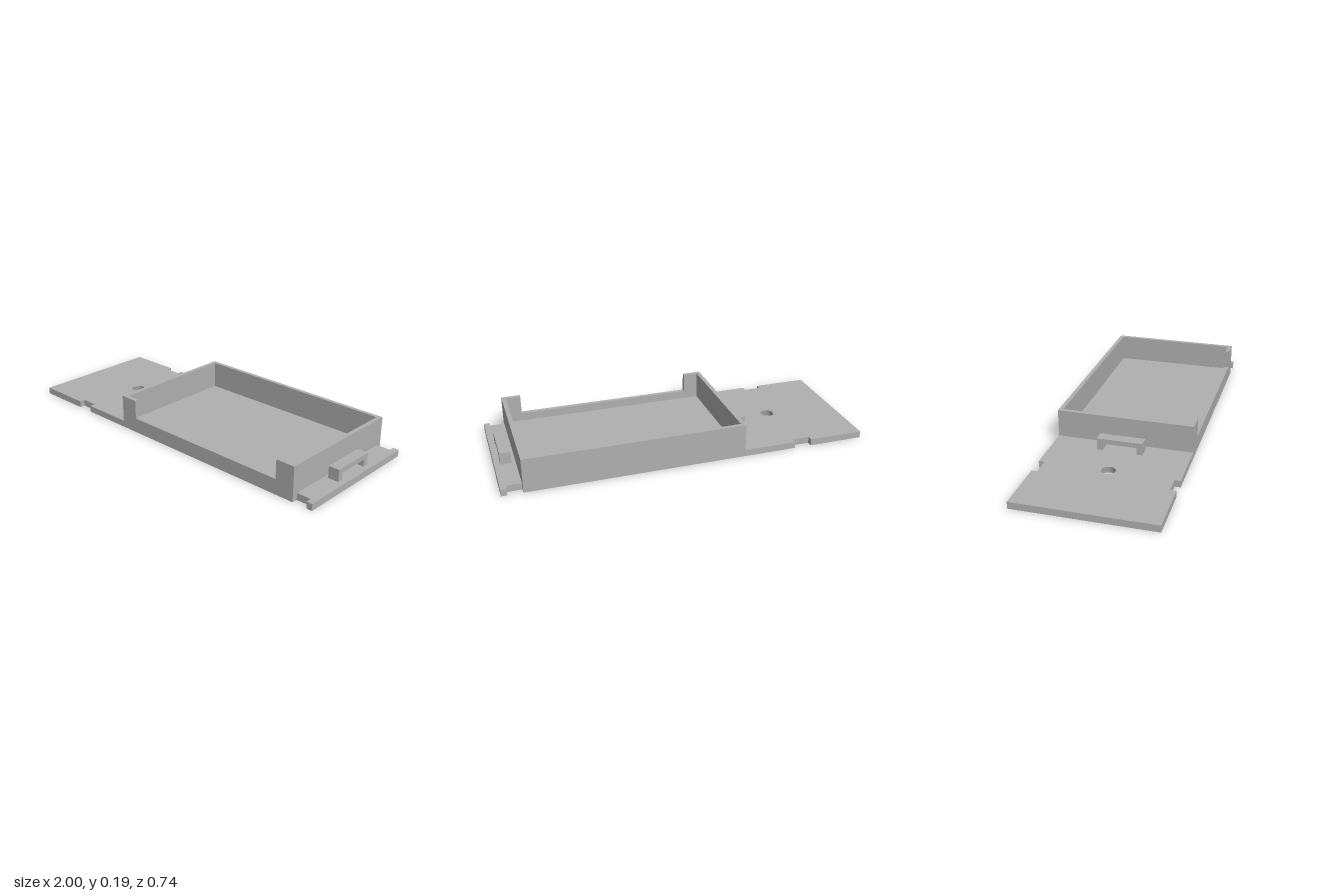
import * as THREE from 'three';

const BASE = 0.037, TOP = 0.188, HALF = 0.372, WALL = 0.023;
const X0 = -0.304, X1 = 0.888; // tray ends
const HOLE = { x: -0.596, r: 0.037, rBottom: 0.045 };

const grey = new THREE.MeshStandardMaterial({ color: 0xb0b0b0 });
grey.name = 'grey';

function addMesh(parent, name, geometry) {
  const mesh = new THREE.Mesh(geometry, grey);
  mesh.name = name;
  parent.add(mesh);
  return mesh;
}

// Box given by its minimum and maximum corners
function addBox(parent, name, [ax, ay, az], [bx, by, bz]) {
  const mesh = addMesh(parent, name, new THREE.BoxGeometry(bx - ax, by - ay, bz - az));
  mesh.position.set((ax + bx) / 2, (ay + by) / 2, (az + bz) / 2);
}

function shapeFrom(points) {
  return new THREE.Shape(points.map(([x, y]) => new THREE.Vector2(x, y)));
}

// Plate with two notches on each long edge and a tapered screw hole
function basePlate() {
  const n = HALF - 0.031;
  const edge = [
    [-1, HALF], [-0.695, HALF], [-0.695, n], [-0.6, n], [-0.6, HALF],
    [X1, HALF], [X1, n], [0.968, n], [0.968, HALF], [1, HALF],
  ];
  const mirrored = edge.map(([x, z]) => [x, -z]).reverse();
  const shape = shapeFrom([...edge, ...mirrored]);
  const hole = new THREE.Path();
  hole.absarc(HOLE.x, 0, HOLE.r, 0, Math.PI * 2, false);
  shape.holes.push(hole);
  const geo = new THREE.ExtrudeGeometry(shape, { depth: BASE, bevelEnabled: false, curveSegments: 20 });
  geo.rotateX(-Math.PI / 2);

  // Widen the lower rim of the hole
  const p = geo.attributes.position;
  for (let i = 0; i < p.count; i++) {
    const dx = p.getX(i) - HOLE.x, z = p.getZ(i);
    if (p.getY(i) < BASE / 2 && Math.hypot(dx, z) < HOLE.r * 1.05) {
      const k = HOLE.rBottom / HOLE.r;
      p.setX(i, HOLE.x + dx * k);
      p.setZ(i, z * k);
    }
  }
  geo.computeVertexNormals();
  return geo;
}

// Bridge-shaped strap loop, extruded along x
function strapLoop() {
  const shape = shapeFrom([
    [-0.123, BASE], [-0.092, BASE], [-0.092, 0.075], [0.092, 0.075],
    [0.092, BASE], [0.123, BASE], [0.123, 0.103], [-0.123, 0.103],
  ]);
  const geo = new THREE.ExtrudeGeometry(shape, { depth: 0.06, bevelEnabled: false });
  geo.rotateY(Math.PI / 2);
  return geo;
}

export function createModel() {
  const model = new THREE.Group();
  model.name = 'mountingTray';

  addMesh(model, 'basePlate', basePlate());

  // Open-topped tray walls
  const tray = new THREE.Group();
  tray.name = 'tray';
  model.add(tray);
  const inner = HALF - WALL;
  addBox(tray, 'backWall', [X0, BASE, -HALF], [X1, TOP, -inner]);
  addBox(tray, 'rightWall', [X0, BASE, -inner], [X0 + WALL, TOP, inner]);
  addBox(tray, 'leftWall', [X1 - WALL, BASE, -inner], [X1, TOP, inner]);

  // Front wall with a wide cutout
  const front = shapeFrom([
    [X0, BASE], [X1, BASE], [X1, TOP], [0.783, TOP],
    [0.783, 0.083], [-0.2, 0.083], [-0.2, TOP], [X0, TOP],
  ]);
  const frontGeo = new THREE.ExtrudeGeometry(front, { depth: WALL, bevelEnabled: false });
  addMesh(tray, 'frontWall', frontGeo).position.z = inner;

  // Loops at both ends of the tray
  const loopGeo = strapLoop();
  addMesh(model, 'rightLoop', loopGeo).position.x = -0.402;
  addMesh(model, 'leftLoop', loopGeo).position.x = 0.909;

  return model;
}
